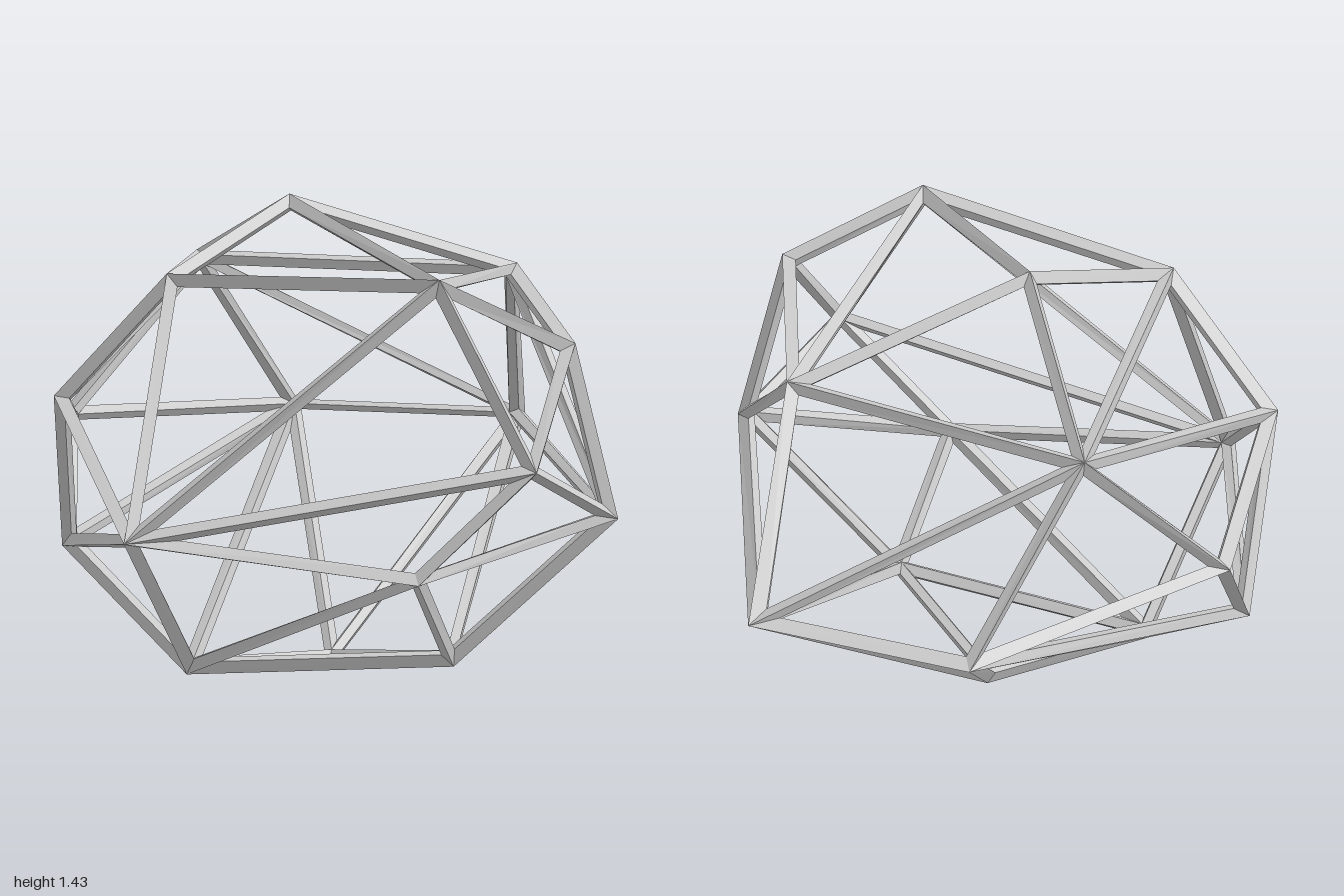
import * as THREE from 'three';

// Outer tips of the cage, one letter per corner
const TIPS = {
  A: [0.10, 0.63, -1.00], B: [-0.61, 0.63, -0.86], C: [-0.70, 1.16, -0.38],
  D: [-0.97, 0.70, 0.00], E: [0.31, 1.17, -0.49], F: [-0.17, 1.43, 0.10],
  G: [0.97, 0.53, 0.21], H: [0.55, 1.28, 0.58], I: [0.89, 0.72, 0.62],
  J: [-0.33, 1.25, 0.63], K: [-0.69, 0.86, 0.66], L: [-0.30, 0.48, 1.00],
  M: [-0.82, 0.35, 0.32], N: [-0.31, 0.02, 0.53], O: [0.55, 0.37, 0.73],
  P: [0.49, 0.07, 0.35], Q: [-0.05, 0.00, 0.05], S: [0.87, 1.07, 0.30],
};

// Triangular openings between the bars
const FACES = ('ABC ABQ ACE AEG AGP APQ BCD BDM BMN BNQ CDK CEF CFJ CJK DKM EFH ' +
  'EHS EGS FHJ GIS GIO GOP HIS HIL HJL ILO JKL KLM LMN LNO NOP NPQ').split(' ');

const HALF = 0.023; // half the diagonal of a bar's diamond section
const CENTRE = new THREE.Vector3(0, 0.7, 0);

const direction = (from, to) => to.clone().sub(from).normalize();

function faceNormal([a, b, c]) {
  return b.clone().sub(a).cross(c.clone().sub(a)).normalize();
}

function buildCage() {
  const tip = {};
  for (const key in TIPS) tip[key] = new THREE.Vector3(...TIPS[key]);

  // Wind every opening so that it faces outward
  const faces = FACES.map((name) => {
    const keys = [...name];
    const points = keys.map((k) => tip[k]);
    const outward = points[0].clone().sub(CENTRE);
    return faceNormal(points).dot(outward) < 0 ? keys.reverse() : keys;
  });

  // Corner normals weighted by angle, lengthened at sharp corners
  const mid = {}, inner = {};
  for (const key in tip) {
    const around = faces.filter((f) => f.includes(key)).map((f) => {
      const [p, q] = f.filter((k) => k !== key);
      const weight = direction(tip[key], tip[p]).angleTo(direction(tip[key], tip[q]));
      return { normal: faceNormal(f.map((k) => tip[k])), weight };
    });
    const n = new THREE.Vector3();
    let total = 0, spread = 0;
    around.forEach((a) => n.addScaledVector(a.normal, a.weight));
    n.normalize();
    around.forEach((a) => { total += a.weight; spread += a.weight * a.normal.dot(n); });
    const depth = HALF * total / spread;
    mid[key] = tip[key].clone().addScaledVector(n, -depth);
    inner[key] = tip[key].clone().addScaledVector(n, -2 * depth);
  }

  const positions = [];
  const quad = (a, b, c, d) => {
    for (const p of [a, b, c, a, c, d]) positions.push(p.x, p.y, p.z);
  };

  // Each opening adds an outer and an inner strip to its three bars
  for (const f of faces) {
    const inset = f.map((k, i) => {
      const e1 = direction(mid[k], mid[f[(i + 1) % 3]]);
      const e2 = direction(mid[k], mid[f[(i + 2) % 3]]);
      const reach = HALF / Math.sin(e1.angleTo(e2));
      return mid[k].clone().addScaledVector(e1.add(e2), reach);
    });
    for (let i = 0; i < 3; i++) {
      const j = (i + 1) % 3;
      quad(tip[f[i]], tip[f[j]], inset[j], inset[i]);
      quad(inset[i], inset[j], inner[f[j]], inner[f[i]]);
    }
  }

  const geometry = new THREE.BufferGeometry();
  geometry.setAttribute('position', new THREE.Float32BufferAttribute(positions, 3));
  geometry.computeVertexNormals();
  return geometry;
}

export function createModel() {
  const group = new THREE.Group();
  group.name = 'facetedWireCage';
  const material = new THREE.MeshStandardMaterial({ color: 0xcccccc, flatShading: true });
  const cage = new THREE.Mesh(buildCage(), material);
  cage.name = 'cageBars';
  group.add(cage);
  return group;
}
